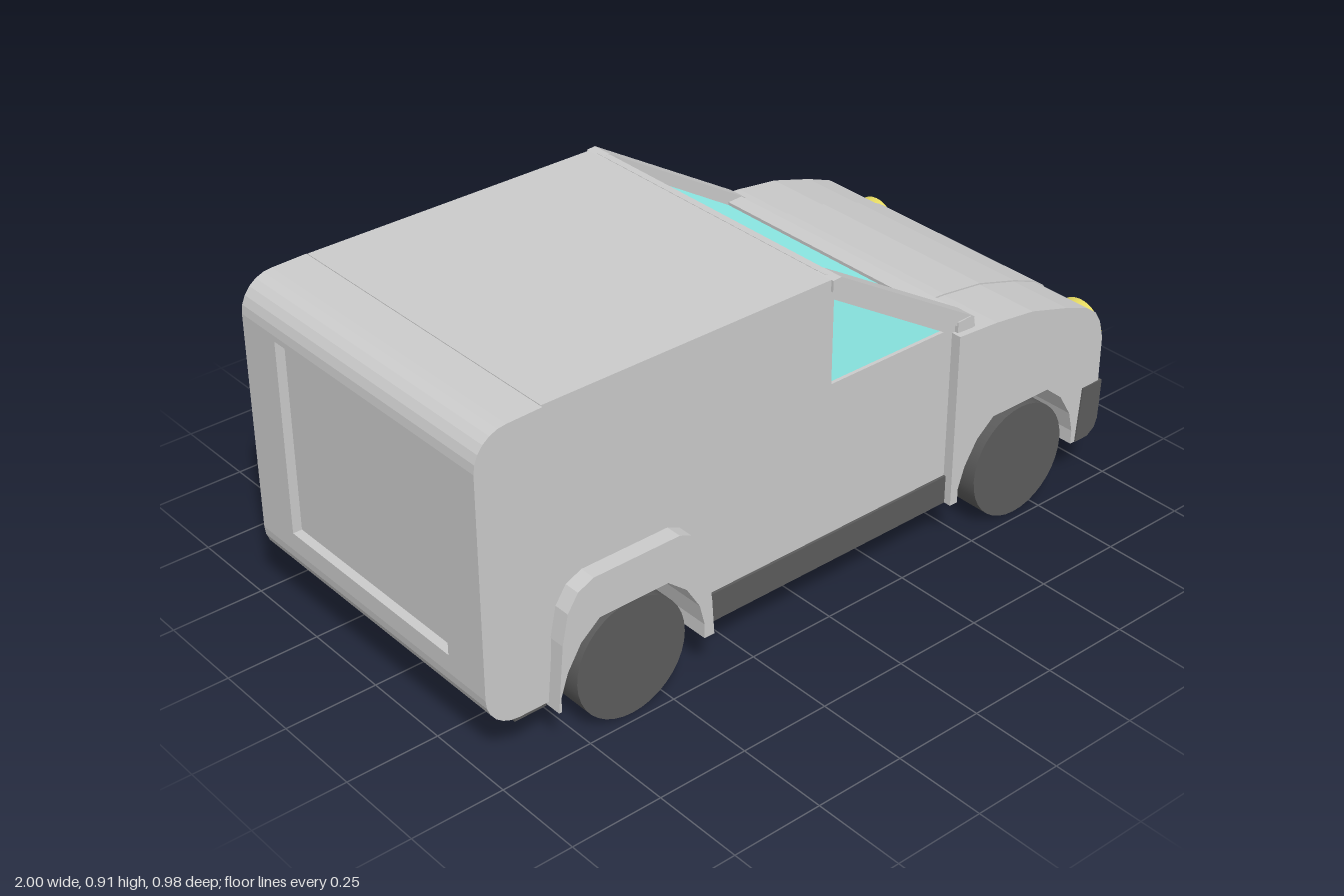
import * as THREE from 'three';

const GREY = 0xcccccc, DARK = 0x5c5c5c, GLASS = 0x99fffa, YELLOW = 0xe8dc62;

export function createModel() {
  const van = new THREE.Group();
  van.name = 'van';
  const materials = {};
  const mat = (color) => (materials[color] ??= new THREE.MeshStandardMaterial({ color }));

  const add = (name, geometry, color) => {
    const mesh = new THREE.Mesh(geometry, mat(color));
    mesh.name = name;
    van.add(mesh);
    return mesh;
  };
  const vecs = (pts) => pts.map(([x, y]) => new THREE.Vector2(x, y));

  // Side profile (x, y) extruded across the van from z0 to z1
  const slab = (name, pts, z0, z1, color = GREY, hole = null) => {
    const shape = new THREE.Shape(vecs(pts));
    if (hole) shape.holes.push(new THREE.Path(vecs(hole)));
    const geometry = new THREE.ExtrudeGeometry(shape, { depth: z1 - z0, bevelEnabled: false });
    geometry.translate(0, 0, z0);
    return add(name, geometry, color);
  };
  const box = (name, x0, x1, y0, y1, z0, z1, color) => {
    const geometry = new THREE.BoxGeometry(x1 - x0, y1 - y0, z1 - z0);
    geometry.translate((x0 + x1) / 2, (y0 + y1) / 2, (z0 + z1) / 2);
    return add(name, geometry, color);
  };

  const REAR = -0.605, FRONT = 0.68, INNER = 0.29;
  // Wheel arch outline about an axle, from the back foot to the front foot
  const arch = (cx) => [
    [-0.215, 0.12], [-0.215, 0.16], [-0.195, 0.22], [-0.155, 0.285], [-0.1, 0.33],
    [0.1, 0.33], [0.155, 0.285], [0.195, 0.22], [0.21, 0.16], [0.21, 0.12],
  ].map(([x, y]) => [cx + x, y]);

  // Cabin and load bay: plain core, outer side walls with arch and window cut out
  const cabinTop = [[0.44, 0.12], [0.44, 0.609], [0.485, 0.609], [0.035, 0.884], [0.035, 0.91], [-0.815, 0.91], [-0.815, 0.12]];
  slab('bodyCore', cabinTop, -INNER, INNER);
  const sideWindow = [[0.035, 0.855], [0.035, 0.627], [0.41, 0.627]];
  for (const s of [1, -1]) {
    const span = (a, b) => (s > 0 ? [a, b] : [-b, -a]);
    slab('bodySide', [...cabinTop, ...arch(REAR)], ...span(INNER, 0.445), GREY, sideWindow);
    slab('sideWindow', sideWindow, ...span(INNER, 0.435), GLASS);

    // Windscreen pillar
    slab('windscreenPillar', [[0.025, 0.88], [0.025, 0.91], [0.05, 0.912], [0.51, 0.637], [0.49, 0.609]],
      ...span(0.393, 0.452));

    // Raised surround over the rear wheel
    const shift = s > 0 ? 0 : -0.01;
    const flare = [
      ...arch(REAR), [-0.365, 0.12], [-0.372, 0.22], [-0.385, 0.32], [-0.408, 0.39], [-0.435, 0.43], [-0.47, 0.445],
      [-0.72, 0.445], [-0.765, 0.425], [-0.795, 0.38], [-0.812, 0.3], [-0.828, 0.12],
    ].map(([x, y]) => [x + shift, y]);
    slab('rearWheelSurround', flare, ...span(0.44, 0.489));
  }

  // Windscreen with its top and bottom rails
  slab('windscreen', [[0.035, 0.86], [0.035, 0.886], [0.485, 0.613], [0.47, 0.6]], -0.393, 0.393, GLASS);
  slab('windscreenTopRail', [[0.03, 0.875], [0.05, 0.877], [0.05, 0.911], [0.03, 0.911]], -0.42, 0.42);
  slab('windscreenBottomRail', [[0.45, 0.6], [0.51, 0.612], [0.505, 0.637], [0.495, 0.645], [0.45, 0.643]], -0.444, 0.455);

  // Rounded rear end with a recessed door panel
  const rearTop = [[-0.815, 0.13], [-0.815, 0.908], [-0.91, 0.905]];
  const corner = (cy, a0) => Array.from({ length: 7 }, (_, i) => {
    const a = a0 + (i / 6) * Math.PI / 2;
    return [-0.91 + 0.09 * Math.cos(a), cy + 0.09 * Math.sin(a)];
  });
  const upper = corner(0.815, Math.PI / 2), lower = corner(0.22, Math.PI);
  const rearProfile = [...rearTop, ...upper, ...lower];
  const notch = [[-1, 0.8], [-0.975, 0.8], [-0.975, 0.27], [-1, 0.27]];
  slab('rearEnd', [...rearTop, ...upper, ...notch, ...lower], -0.315, 0.315);
  slab('rearEndLeft', rearProfile, 0.315, 0.45);
  slab('rearEndRight', rearProfile, -0.45, -0.315);

  // Bonnet and front wings
  const nose = (lift) => [
    [0.98, 0.28], [0.98, 0.41], [0.965, 0.465], [0.945, 0.497], [0.91, 0.522], [0.83, 0.552],
    [0.7, 0.59], [0.57, 0.606], [0.44, 0.614],
  ].map(([x, y]) => [x, y > 0.42 ? y + lift : y]);
  slab('bonnet', [[0.44, 0.12], [0.92, 0.12], [0.92, 0.28], ...nose(0.004)], -INNER, INNER);
  const wing = [...arch(FRONT), [0.92, 0.12], [0.92, 0.28], ...nose(0), [0.44, 0.12]];
  slab('frontWing', wing, INNER, 0.473);
  slab('frontWing', wing, -0.487, -INNER);

  // Bumper, sill and floor
  slab('frontBumper', [[0.905, 0.122], [0.95, 0.122], [0.975, 0.14], [0.985, 0.165], [0.99, 0.28], [0.918, 0.28]],
    -0.489, 0.477, DARK);
  box('sill', -0.37, 0.44, 0.12, 0.2, 0.43, 0.452, DARK);
  box('sill', -0.37, 0.44, 0.12, 0.2, -0.447, -0.43, GREY);
  box('floor', -0.92, 0.93, 0.117, 0.135, -INNER, INNER, DARK);
  box('floorMiddle', -0.37, 0.44, 0.117, 0.135, -0.443, 0.448, DARK);
  box('floorRear', -0.92, -0.83, 0.118, 0.135, -0.445, 0.445, DARK);

  // Wheels
  for (const x of [REAR, FRONT]) {
    for (const [z0, z1] of [[0.318, 0.476], [-0.483, -0.32]]) {
      const wheel = new THREE.CylinderGeometry(0.16, 0.16, z1 - z0, 36);
      wheel.rotateX(Math.PI / 2).translate(x, 0.16, (z0 + z1) / 2);
      add('wheel', wheel, DARK);
    }
  }

  // Headlights
  for (const z of [0.375, -0.388]) {
    const lamp = new THREE.CylinderGeometry(0.08, 0.08, 0.05, 32);
    lamp.rotateZ(Math.PI / 2).translate(0.975, 0.394, z);
    add('headlight', lamp, YELLOW);
  }
  return van;
}
